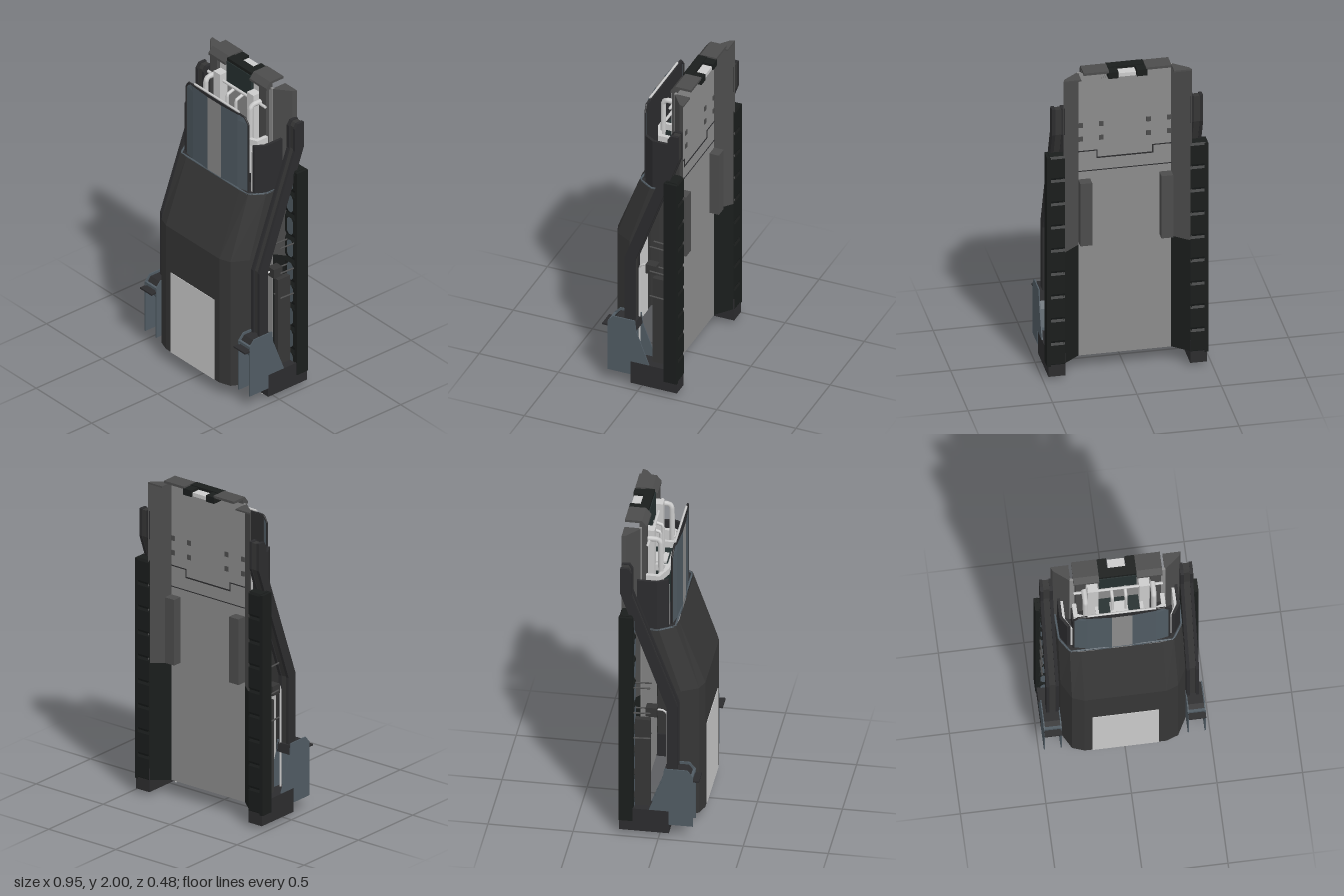
import * as THREE from 'three';

const mat = (color, extra = {}) =>
  new THREE.MeshStandardMaterial({ color, flatShading: true, side: THREE.DoubleSide, ...extra });
const M = {
  light: mat(0xcccccc), shell: mat(0x363636), dark: mat(0x2c2c2e), black: mat(0x1a1d1c),
  grey: mat(0x8c8c8c), mid: mat(0x4c4c4c), slate: mat(0x505b63), green: mat(0x263030),
  metal: mat(0xcccccc, { flatShading: false }),
};

function add(parent, name, geo, material) {
  const m = new THREE.Mesh(geo, material);
  m.name = name;
  parent.add(m);
  return m;
}

// Box given by its limits
function box(p, name, material, x0, x1, y0, y1, z0, z1) {
  const g = new THREE.BoxGeometry(x1 - x0, y1 - y0, z1 - z0);
  g.translate((x0 + x1) / 2, (y0 + y1) / 2, (z0 + z1) / 2);
  return add(p, name, g, material);
}

const shapeOf = pts => new THREE.Shape(pts.map(([a, b]) => new THREE.Vector2(a, b)));

// Side profile of [z, y] points, extruded from x0 to x1
function profileX(p, name, material, pts, x0, x1) {
  const g = new THREE.ExtrudeGeometry(shapeOf(pts), { depth: x1 - x0, bevelEnabled: false });
  g.rotateY(-Math.PI / 2).translate(x1, 0, 0);
  return add(p, name, g, material);
}

// Plan outline of [x, z] points, extruded from y0 to y1
function profileY(p, name, material, pts, y0, y1) {
  const g = new THREE.ExtrudeGeometry(shapeOf(pts), { depth: y1 - y0, bevelEnabled: false });
  g.rotateX(Math.PI / 2).translate(0, y1, 0);
  return add(p, name, g, material);
}

// Open sheet through cross-sections of [x, y, z] points
function sheet(p, name, material, sections) {
  const n = sections[0].length, idx = [];
  for (let r = 0; r < sections.length - 1; r++)
    for (let i = 0; i < n - 1; i++) {
      const a = r * n + i, b = a + 1, c = a + n, d = c + 1;
      idx.push(a, b, d, a, d, c);
    }
  const g = new THREE.BufferGeometry();
  g.setAttribute('position', new THREE.Float32BufferAttribute(sections.flat(2), 3));
  g.setIndex(idx);
  g.computeVertexNormals();
  return add(p, name, g, material);
}

function rod(p, name, pts, r, material = M.metal) {
  const path = new THREE.CurvePath();
  const v = pts.map(q => new THREE.Vector3(...q));
  for (let i = 0; i < v.length - 1; i++) path.add(new THREE.LineCurve3(v[i], v[i + 1]));
  return add(p, name, new THREE.TubeGeometry(path, 12 * (v.length - 1), r, 8), material);
}

// Full symmetric section from its +x half, running from -x to +x
const mirrored = half => [...half.map(([x, y, z]) => [-x, y, z]), ...half.slice().reverse()];

function buildSide() {
  const s = new THREE.Group();

  // Long bent arm: two rails around a recessed core
  const arm = [[.105, .4], [.105, .87], [-.165, 1.6], [-.165, 1.75], [-.185, 1.78],
    [-.232, 1.78], [-.232, 1.61], [.04, .86], [.04, .4]];
  const core = [[.093, .4], [.093, .866], [-.176, 1.6], [-.176, 1.75], [-.19, 1.775],
    [-.228, 1.775], [-.228, 1.61], [.046, .86], [.046, .4]];
  profileX(s, 'armInnerRail', M.dark, arm, .372, .392);
  profileX(s, 'armOuterRail', M.dark, arm, .428, .447);
  profileX(s, 'armCore', M.shell, core, .39, .43);

  // Track column: straight side plate, scalloped links, slate inserts on the front face
  box(s, 'trackSidePlate', M.black, .455, .477, .09, 1.465, -.237, -.155);
  const links = 9, h = 1.38 / links;
  for (let i = 0; i < links; i++) {
    const y = .09 + i * h;
    profileX(s, 'trackLink', M.black, [[-.152, y + .025], [-.152, y + h - .025], [-.163, y + h],
      [-.23, y + h], [-.237, y + h - .015], [-.237, y + .015], [-.23, y], [-.163, y]], .372, .46);
    sheet(s, 'trackInsert', M.slate, [[.02, .012], [.04, .028], [h - .04, .028], [h - .02, .012]].map(
      ([dy, w]) => [[.42 - w, y + dy, -.149], [.42 + w, y + dy, -.149]]));
  }

  // Foot
  box(s, 'foot', M.dark, .37, .47, .025, .172, -.235, .058);

  // Fender: two hanging side walls, open in front, with a curved inner guard
  const wall = [[.2, .085], [.2, .42], [.165, .46], [.03, .46], [.022, .39], [-.06, .175], [.058, .175], [.058, .085]];
  profileX(s, 'fenderOuterWall', M.slate, wall, .466, .473);
  profileX(s, 'fenderInnerWall', M.slate, wall, .368, .375);
  sheet(s, 'fenderGuard', M.slate, [[.42, .195], [.36, .17], [.28, .12], [.18, .08], [.09, .06]].map(([y, z]) =>
    [[.37, y, z], [.47, y, z]]));
  sheet(s, 'fenderCap', M.dark, [[.415, .185], [.445, .16], [.445, .03], [.39, .022]].map(([y, z]) =>
    [[.372, y, z], [.468, y, z]]));
  box(s, 'fenderRim', M.slate, .37, .472, .405, .422, .185, .2);
  box(s, 'fenderLip', M.dark, .37, .472, .385, .395, .16, .235);

  // Bracket, hydraulic rod and rungs between the arm and the track
  box(s, 'trackBracket', M.shell, .385, .42, .17, .75, -.155, -.06);
  rod(s, 'slimRod', [[.39, 0, .035], [.39, .79, .035], [.39, .81, .015], [.39, .81, -.04]], .006);
  box(s, 'rodValve', M.shell, .375, .43, .78, .84, -.085, -.02);
  for (const y of [.64, .81, .98])
    for (const x of [.39, .45]) rod(s, 'rung', [[x, y, -.16], [x, y + .005, -.055]], .005, M.mid);

  // Cheek block beside the visor, with a pale liner
  profileY(s, 'cheekBlock', M.dark, [[.352, -.15], [.352, -.03], [.315, .03], [.295, .03],
    [.335, -.035], [.335, -.15]], 1.3, 1.65);
  profileY(s, 'cheekLiner', M.light, [[.335, -.15], [.335, -.035], [.295, .03], [.28, .03],
    [.318, -.035], [.318, -.15]], 1.3, 1.6);

  // Shoulder block with a thin cap reaching back, over a recess with posts
  profileX(s, 'shoulderBlock', M.mid, [[-.105, 1.95], [-.105, 1.965], [-.135, 2], [-.15, 2], [-.15, 1.6],
    [-.142, 1.6], [-.142, 1.95]], .11, .26);
  box(s, 'shoulderCap', M.mid, .11, .26, 1.985, 2, -.235, -.14);
  box(s, 'recessPlate', M.light, .118, .185, 1.8, 1.95, -.143, -.13);
  box(s, 'shoulderPost', M.light, .12, .18, 1.33, 1.89, -.13, -.075);
  box(s, 'shoulderStrut', M.mid, .19, .25, 1.33, 1.95, -.14, -.11);

  // Angled tray and its rods
  profileY(s, 'tray', M.light, [[.27, -.11], [.27, -.03], [.17, .012], [.12, .012], [.12, -.09],
    [.14, -.09], [.14, -.015], [.17, -.015], [.245, -.045], [.245, -.11]], 1.6, 1.64);
  box(s, 'trayBase', M.dark, .12, .275, 1.33, 1.5, -.135, -.03);
  rod(s, 'loopRod', [[.2, 1.4, -.03], [.2, 1.83, -.035], [.2, 1.85, -.05], [.2, 1.85, -.12]], .016);
  rod(s, 'innerStrut', [[.04, 1.4, -.06], [.04, 1.8, -.06], [.04, 1.82, -.12]], .01);

  // Slanted flange running back from the recessed back plate, black in its lower part
  const flange = [[.275, -.15], [.38, -.235], [.37, -.21], [.275, -.135]];
  profileY(s, 'upperFlange', M.mid, flange, .83, 1.96);
  profileY(s, 'lowerFlange', M.black, flange, .1, .83);
  profileY(s, 'flangeCap', M.mid, [[.275, -.15], [.275, -.235], [.38, -.235]], 1.95, 1.96);
  box(s, 'rearPad', M.mid, .205, .275, .85, 1.26, -.21, -.14);
  return s;
}

export function createModel() {
  const g = new THREE.Group();
  g.name = 'armouredPack';

  // Folded front shell, open below and behind
  sheet(g, 'frontShell', M.shell, [
    mirrored([[.37, .085, .08], [.365, .085, .11], [.31, .085, .21], [.24, .085, .235]]),
    mirrored([[.37, .87, .08], [.365, .87, .11], [.31, .87, .21], [.24, .87, .235]]),
    mirrored([[.37, .93, .05], [.365, .93, .11], [.31, .93, .21], [.24, .93, .235]]),
    mirrored([[.368, 1.335, -.13], [.362, 1.335, -.02], [.305, 1.335, .07], [.24, 1.335, .08]]),
  ]);
  box(g, 'frontPanel', M.light, -.195, .195, .085, .63, .232, .238);
  rod(g, 'shellRim', mirrored([[.362, 1.33, -.17], [.358, 1.33, -.02], [.301, 1.33, .068]]), .006, M.slate);
  profileY(g, 'shellDeck', M.dark, [[-.362, -.17], [-.36, -.02], [-.302, .066], [.302, .066],
    [.36, -.02], [.362, -.17], [.28, -.13], [-.28, -.13]], 1.305, 1.33);

  // Faceted visor with a paler middle strip
  for (const s of [-1, 1])
    sheet(g, 'visorWing', M.slate, [[1.3, .28], [1.79, .28], [1.828, .25]].map(([y, w]) =>
      [[s * .06, y, .072], [s * .2, y, .062], [s * w, y, .045]]));
  sheet(g, 'visorStrip', M.grey, [1.3, 1.828].map(y => [[-.06, y, .072], [.06, y, .072]]));
  box(g, 'visorBacking', M.dark, -.255, .255, 1.3, 1.825, .042, .048);
  rod(g, 'visorRim', mirrored([[.28, 1.335, .046], [.28, 1.79, .046], [.25, 1.828, .05]]), .006, M.dark);
  rod(g, 'visorRail', [[-.2, 1.84, .05], [.2, 1.84, .05]], .007);

  // Back plate, recessed between the flanges
  box(g, 'backPlate', M.grey, -.28, .28, .1, 1.96, -.15, -.135);

  // Step seam, lower seam and fasteners on the back
  const seam = (x0, x1, y0, y1) => box(g, 'backSeam', M.dark, x0, x1, y0, y1, -.1525, -.145);
  for (const s of [-1, 1]) {
    seam(s * .222 - .054, s * .222 + .054, 1.44, 1.446);
    seam(s * .165 - .003, s * .165 + .003, 1.39, 1.446);
  }
  seam(-.165, .165, 1.39, 1.398);
  seam(-.275, .275, 1.31, 1.315);
  for (const x of [-.262, -.14, .14, .262])
    for (const y of [1.51, 1.6]) box(g, 'backFastener', M.mid, x - .013, x + .013, y, y + .03, -.155, -.145);

  // Central spine and top latch
  box(g, 'spineBlock', M.green, -.11, .11, 1.82, 1.975, -.148, -.115);
  box(g, 'spineColumn', M.green, -.12, .12, 1.3, 1.6, -.136, -.005);
  box(g, 'spinePlate', M.light, -.052, .052, 1.5, 1.61, -.105, -.025);
  box(g, 'topLatch', M.black, -.11, .11, 1.96, 1.995, -.175, -.12);
  box(g, 'latchPlate', M.light, -.05, .05, 1.955, 1.978, -.232, -.17);
  for (const x of [-.085, .085]) box(g, 'latchEar', M.black, x - .03, x + .03, 1.95, 1.99, -.238, -.17);

  // Cross rails joining the trays
  rod(g, 'rearRail', [[-.26, 1.84, -.1], [.26, 1.84, -.1]], .009);
  rod(g, 'frontRail', [[-.13, 1.63, 0], [.13, 1.63, 0]], .009);

  // Mirrored side assemblies
  const left = buildSide();
  left.name = 'leftSide';
  const right = buildSide();
  right.name = 'rightSide';
  right.scale.x = -1;
  g.add(left, right);
  return g;
}
